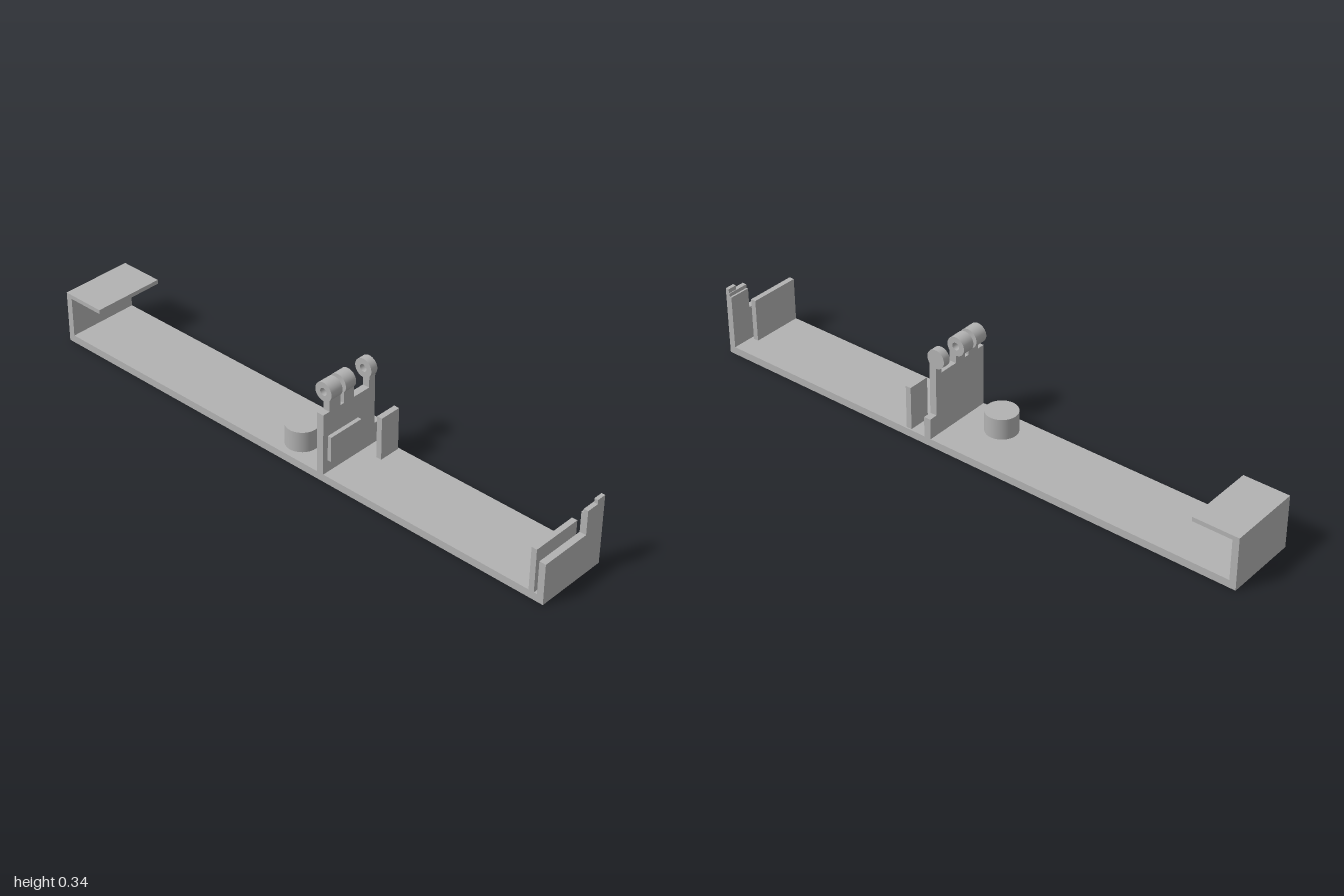
import * as THREE from 'three';

export function createModel() {
  const model = new THREE.Group();
  const grey = new THREE.MeshStandardMaterial({ color: 0xb2b2b2 });
  grey.name = 'plainGrey';

  const add = (name, geometry) => {
    const mesh = new THREE.Mesh(geometry, grey);
    mesh.name = name;
    model.add(mesh);
    return mesh;
  };
  // Box given by its limits on each axis
  const block = (name, x0, x1, y0, y1, z0, z1) =>
    add(name, new THREE.BoxGeometry(x1 - x0, y1 - y0, z1 - z0))
      .position.set((x0 + x1) / 2, (y0 + y1) / 2, (z0 + z1) / 2);

  const W = 0.13, FLOOR = 0.027;

  block('base', -W, W, 0, FLOOR, -1, 1);

  // Back hook
  block('backWall', -W, W, FLOOR, 0.185, -1, -0.977);
  block('backShelf', -W, W, 0.17, 0.185, -0.977, -0.84);

  // Stepped front wall with its small catch, and the wall behind it
  block('frontWallLow', -W, 0.053, FLOOR, 0.145, 0.977, 1);
  block('frontWallTall', 0.053, W, FLOOR, 0.217, 0.977, 1);
  block('frontWallRim', 0.053, W, 0.217, 0.23, 0.984, 1);
  block('frontCatch', 0.097, W, 0.23, 0.245, 0.987, 1);
  block('innerFrontWall', -W, 0.053, FLOOR, 0.18, 0.947, 0.966);

  // Hinge plate with foot and raised panel
  block('hingePlate', -W, 0.1, FLOOR, 0.245, 0.13, 0.155);
  block('hingePlateFoot', 0.1, W, FLOOR, 0.1, 0.13, 0.155);
  block('platePanel', -0.11, 0.025, 0.07, 0.16, 0.155, 0.169);
  block('guidePost', 0.047, 0.125, FLOOR, 0.18, 0.212, 0.232);

  // Hinge knuckles: two bored through, the last with a blind hole
  const R = 0.033, r = 0.013;
  const knuckles = [[-0.103, -0.055, false], [-0.04, 0.005, false], [0.073, 0.1, true]];
  for (const [x0, x1, blind] of knuckles) {
    block('knuckleNeck', x0, x1, 0.245, 0.286, 0.13, 0.155);
    const L = x1 - x0;
    const corners = blind
      ? [[0, 0.018], [r, 0.018], [r, 0], [R, 0], [R, L], [0, L]]
      : [[r, 0], [R, 0], [R, L], [r, L], [r, 0]];
    // Doubled corner points keep the edges sharp
    const profile = corners.flatMap(([a, b], i) => {
      const p = new THREE.Vector2(a, b);
      return i === 0 || i === corners.length - 1 ? [p] : [p, p.clone()];
    });
    const barrel = new THREE.LatheGeometry(profile, 48);
    barrel.rotateZ(-Math.PI / 2);
    add('knuckle', barrel).position.set(x0, 0.305, 0.13);
  }

  // Round boss on the floor
  add('boss', new THREE.CylinderGeometry(0.055, 0.055, 0.1 - FLOOR, 48))
    .position.set(-0.05, (0.1 + FLOOR) / 2, -0.008);

  return model;
}
